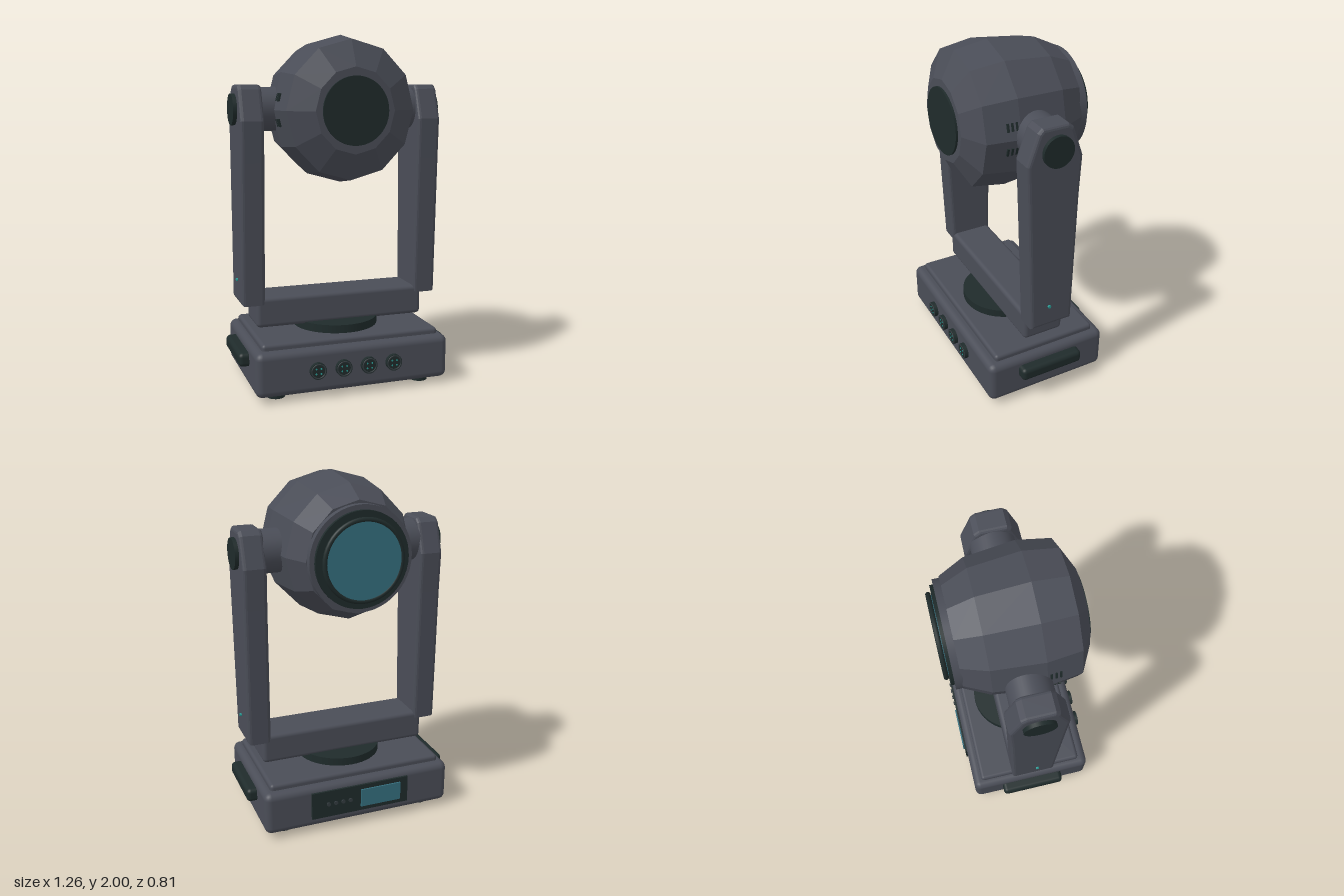
import * as THREE from 'three';
import { RoundedBoxGeometry } from 'three/addons/geometries/RoundedBoxGeometry.js';

const paint = (name, color) => {
  const m = new THREE.MeshStandardMaterial({ color });
  m.name = name;
  return m;
};

export function createModel() {
  const grey = paint('housing grey', 0x4a4d57);
  const dark = paint('dark rubber', 0x1f2b2b);
  const glass = paint('teal glass', 0x35707f);
  const led = paint('bright teal', 0x2a9a94);
  const button = paint('button grey', 0x343c40);

  const model = new THREE.Group();
  model.name = 'movingHeadLight';
  const add = (name, geo, mat, x = 0, y = 0, z = 0) => {
    const mesh = new THREE.Mesh(geo, mat);
    mesh.name = name;
    mesh.position.set(x, y, z);
    model.add(mesh);
    return mesh;
  };
  const rounded = (w, h, d, r) => new RoundedBoxGeometry(w, h, d, 3, r);
  // Cylinders along each axis
  const cylY = (r, h, n = 40) => new THREE.CylinderGeometry(r, r, h, n);
  const cylX = (r, h, n = 40) => cylY(r, h, n).rotateZ(Math.PI / 2);
  const cylZ = (r, h, n = 40) => cylY(r, h, n).rotateX(Math.PI / 2);

  // Base with stepped lid and pan bearing
  add('base', rounded(1.14, 0.255, 0.75, 0.04), grey, 0, 0.158, 0.005);
  add('baseLid', rounded(1.05, 0.08, 0.645, 0.02), grey, 0, 0.28, 0.003);
  add('panBearing', cylY(0.25, 0.05, 48), dark, 0, 0.342, 0.005);
  for (const x of [-0.435, 0.435]) {
    for (const z of [-0.25, 0.265]) add('foot', cylY(0.052, 0.04, 24), dark, x, 0.02, z);
  }

  // Front sockets with pins
  for (const x of [-0.225, -0.075, 0.075, 0.225]) {
    add('socket', cylZ(0.047, 0.026, 28), dark, x, 0.165, 0.39);
    add('socketRing', new THREE.TorusGeometry(0.04, 0.004, 8, 28), button, x, 0.165, 0.402);
    for (let i = 0; i < 4; i++) {
      const a = Math.PI / 4 + i * Math.PI / 2;
      add('socketPin', cylZ(0.005, 0.004, 8), led,
        x + 0.02 * Math.cos(a), 0.165 + 0.02 * Math.sin(a), 0.404);
    }
  }

  // Rear control panel
  add('controlPanel', new THREE.BoxGeometry(0.6, 0.165, 0.012), dark, 0, 0.17, -0.375);
  add('displayScreen', new THREE.BoxGeometry(0.25, 0.11, 0.009), glass, -0.125, 0.17, -0.385);
  for (let i = 0; i < 4; i++) {
    add('panelButton', cylZ(0.012, 0.008, 12), button, 0.2 - i * 0.045, 0.17, -0.384);
  }

  // Yoke cross bar
  add('yokeBar', rounded(1.01, 0.175, 0.25, 0.025), grey, 0, 0.4425, 0.005);

  // Tapered yoke arm, profile drawn in z and y
  const armShape = new THREE.Shape([
    [-0.125, 0.49], [0.135, 0.49], [0.165, 1.3], [0.175, 1.53], [0.115, 1.7], [0.09, 1.725],
    [-0.06, 1.725], [-0.09, 1.7], [-0.15, 1.53], [-0.14, 1.3],
  ].map(([z, y]) => new THREE.Vector2(z, y)));
  const armGeo = new THREE.ExtrudeGeometry(armShape, {
    depth: 0.095, bevelSize: 0.02, bevelThickness: 0.02, bevelOffset: -0.02, bevelSegments: 3,
  }).rotateY(-Math.PI / 2).translate(0.0475, 0, 0);

  for (const s of [-1, 1]) {
    add('yokeArm', armGeo, grey, s * 0.5225, 0, 0);
    add('tiltPivot', cylX(0.123, 0.16), grey, s * 0.39, 1.59, 0.005);
    add('pivotCap', cylX(0.088, 0.03), dark, s * 0.597, 1.59, 0.007);
    add('armIndicator', cylX(0.009, 0.016, 12), led, s * 0.593, 0.625, 0.025);
    add('carryHandle', rounded(0.08, 0.08, 0.39, 0.025), dark, s * 0.588, 0.2, 0.005);
    // Cooling slots on the head sides
    for (const v of [-1, 1]) {
      for (const z of [0.12, 0.145, 0.17]) {
        add('coolingSlot', new THREE.BoxGeometry(0.02, 0.045, 0.012), dark,
          s * 0.367, 1.588 + v * 0.068, z).rotation.z = s * v * Math.PI / 12;
      }
    }
  }

  // Twelve-sided faceted head
  const profile = [
    [0, -0.32], [0.31, -0.32], [0.38, -0.18], [0.413, 0.1], [0.383, 0.29], [0.235, 0.365], [0, 0.365],
  ].map(([r, z]) => new THREE.Vector2(r, z));
  const headGeo = new THREE.LatheGeometry(profile, 12)
    .rotateX(Math.PI / 2).scale(0.96, 1, 1).toNonIndexed();
  headGeo.computeVertexNormals();
  add('head', headGeo, grey, 0, 1.587, 0);
  add('rearCover', cylZ(0.187, 0.02, 48), dark, 0, 1.587, 0.367);

  // Lens collar, rim and glass
  add('lensCollar', cylZ(0.292, 0.05, 48), grey, 0, 1.587, -0.332);
  add('lensSeat', cylZ(0.265, 0.025, 48), dark, 0, 1.587, -0.363);
  add('lensRim', new THREE.TorusGeometry(0.219, 0.014, 10, 48), dark, 0, 1.587, -0.392);
  add('lensGlass', cylZ(0.213, 0.03, 48), glass, 0, 1.587, -0.387);

  return model;
}
